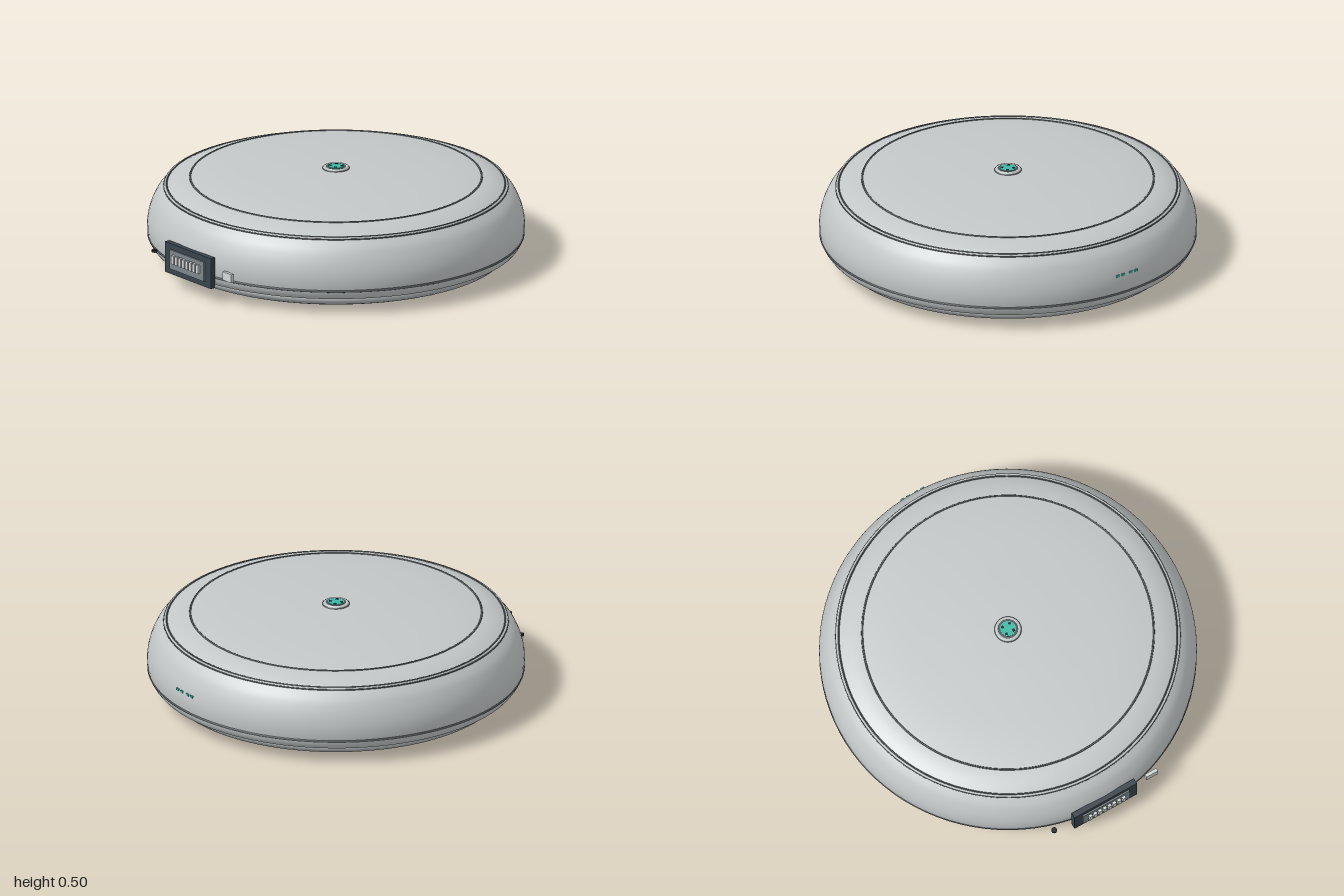
import * as THREE from 'three';

const mat = (name, color, side = THREE.FrontSide) => {
  const m = new THREE.MeshStandardMaterial({ color, side });
  m.name = name;
  return m;
};

export function createModel() {
  const shell = mat('shell grey', 0xc3c7c7, THREE.DoubleSide);
  const lower = mat('lower grey', 0xb0b4b5, THREE.DoubleSide);
  const seam = mat('seam grey', 0x555a5c);
  const rubber = mat('rubber black', 0x1d2428);
  const slate = mat('port slate', 0x38444c);
  const panel = mat('panel grey', 0x7c878c);
  const pale = mat('contact white', 0xd2d6d6);
  const teal = mat('teal', 0x3db8a6);

  const root = new THREE.Group();
  const disc = new THREE.Group();
  disc.name = 'disc';
  disc.position.z = -0.02;
  root.add(disc);

  const add = (parent, name, geo, material, x = 0, y = 0, z = 0) => {
    const m = new THREE.Mesh(geo, material);
    m.name = name;
    m.position.set(x, y, z);
    parent.add(m);
    return m;
  };
  const lathe = (name, pts, material, seg = 96) =>
    add(disc, name, new THREE.LatheGeometry(pts.map(p => new THREE.Vector2(...p)), seg), material);
  const hoop = (name, r, tube, y, material) => {
    const g = new THREE.TorusGeometry(r, tube, 8, 96);
    g.rotateX(Math.PI / 2);
    return add(disc, name, g, material, 0, y, 0);
  };
  const box = (parent, name, w, h, d, material, x, y, z) =>
    add(parent, name, new THREE.BoxGeometry(w, h, d), material, x, y, z);

  // Rounded outer shell
  const side = new THREE.SplineCurve([
    [0.95, 0.085], [0.968, 0.11], [0.978, 0.15], [0.98, 0.2], [0.972, 0.25],
    [0.955, 0.3], [0.928, 0.35], [0.885, 0.395],
  ].map(p => new THREE.Vector2(...p)));
  lathe('outerShell', side.getPoints(28).map(p => [p.x, p.y]), shell);

  // Shallow domed lid and its rings
  const dome = new THREE.SplineCurve([
    [0.885, 0.395], [0.83, 0.421], [0.757, 0.44], [0.6, 0.461], [0.4, 0.475], [0.2, 0.484], [0, 0.487],
  ].map(p => new THREE.Vector2(...p)));
  lathe('lid', dome.getPoints(24).map(p => [Math.max(p.x, 0), p.y]), shell);
  hoop('lidRim', 0.887, 0.007, 0.394, shell);
  hoop('lidRimSeamOuter', 0.893, 0.004, 0.391, seam);
  hoop('lidRimSeamInner', 0.879, 0.004, 0.4, seam);
  hoop('lidGroove', 0.757, 0.005, 0.44, seam);

  // Dark band around the lower edge
  hoop('sideSeam', 0.972, 0.008, 0.134, seam);

  // Stepped lower housing, open underneath
  lathe('housingStep', [[0.87, 0.086], [0.95, 0.085]], lower);
  lathe('lowerHousing', [[0.86, 0.025], [0.88, 0.033], [0.895, 0.048], [0.9, 0.062], [0.893, 0.078], [0.88, 0.088]], lower);
  lathe('housingFloor', [[0.65, 0.025], [0.86, 0.025]], lower);

  // Rubber foot ring
  lathe('footRingOuter', [[0.775, 0], [0.795, 0.025]], rubber);
  lathe('footRingUnderside', [[0.65, 0], [0.775, 0]], rubber);
  lathe('footRingInner', [[0.65, 0.025], [0.65, 0]], rubber);

  // Contact bars across the foot ring
  for (const s of [-1, 1]) box(disc, 'sideContactBar', 0.21, 0.018, 0.1, pale, s * 0.725, 0.021, 0);
  box(disc, 'frontContactBar', 0.1, 0.018, 0.12, pale, 0, 0.021, 0.69);

  // Top button with teal centre and dark dots
  lathe('buttonBase', [[0.072, 0.481], [0.07, 0.491], [0.055, 0.497], [0, 0.497]], seam, 40);
  hoop('buttonRim', 0.058, 0.01, 0.489, shell);
  add(disc, 'buttonCentre', new THREE.CylinderGeometry(0.042, 0.042, 0.006, 32), teal, 0, 0.497, 0);
  for (let i = 0; i < 4; i++) {
    const a = Math.PI / 4 + i * Math.PI / 2;
    add(disc, 'buttonDot', new THREE.CylinderGeometry(0.008, 0.008, 0.004, 12), rubber,
      0.03 * Math.cos(a), 0.5, 0.03 * Math.sin(a));
  }

  // Front port with a row of pins
  const port = new THREE.Group();
  port.name = 'frontPort';
  root.add(port);
  box(port, 'portFrame', 0.375, 0.165, 0.03, slate, 0, 0.165, 0.962);
  box(port, 'portPanel', 0.28, 0.105, 0.009, panel, 0, 0.165, 0.981);
  for (let i = 0; i < 8; i++) {
    box(port, 'portPin', 0.019, 0.046, 0.016, pale, -0.1 + i * 0.2 / 7, 0.172, 0.992);
  }

  // Small front fittings
  box(root, 'frontTab', 0.07, 0.046, 0.018, pale, 0.293, 0.169, 0.947);
  add(root, 'frontPeg', new THREE.CylinderGeometry(0.015, 0.015, 0.012, 16), rubber, -0.298, 0.163, 0.955);

  // Rear indicator lights
  for (const x of [-0.06, -0.025, 0.025, 0.06]) {
    box(root, 'rearLight', 0.02, 0.012, 0.01, teal, x, 0.235, -0.994);
  }
  return root;
}
